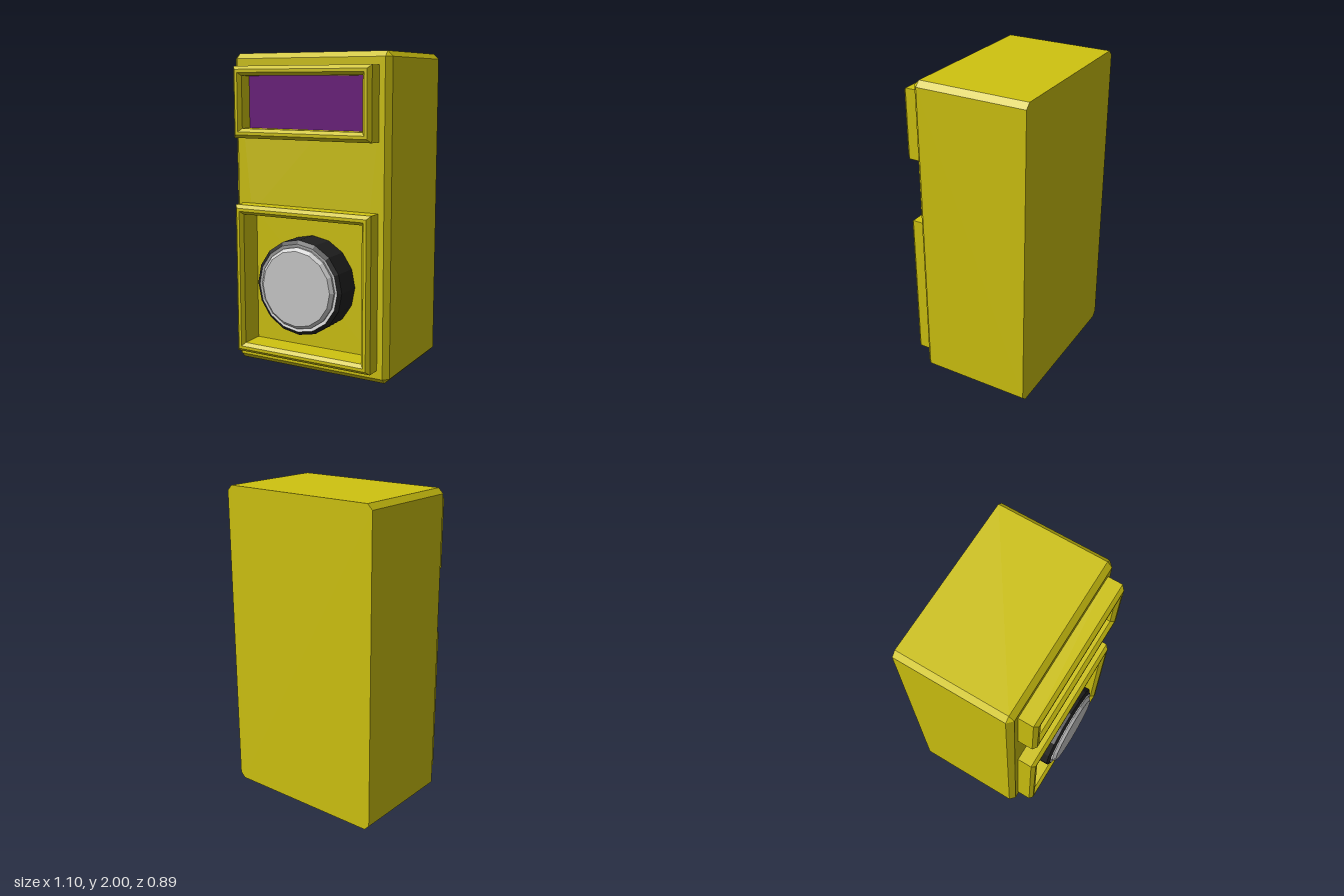
import * as THREE from 'three';

const mat = (color) => new THREE.MeshStandardMaterial({ color, flatShading: true });

// Counter-clockwise rectangle with cut corners, as 8 points at depth z
function loop(x, y0, y1, z, cut = 0) {
  return [
    [x - cut, y0], [x, y0 + cut], [x, y1 - cut], [x - cut, y1],
    [-x + cut, y1], [-x, y1 - cut], [-x, y0 + cut], [-x + cut, y0],
  ].map(([a, b]) => new THREE.Vector3(a, b, z));
}

// Joins successive loops with flat faces, optionally closing the first or last one
function loft(loops, { capStart = false, capEnd = false } = {}) {
  const pos = [];
  const tri = (a, b, c) => {
    const area = b.clone().sub(a).cross(c.clone().sub(a)).length();
    if (area > 1e-8) for (const p of [a, b, c]) pos.push(p.x, p.y, p.z);
  };
  for (let k = 0; k < loops.length - 1; k++) {
    const a = loops[k], b = loops[k + 1];
    for (let i = 0; i < a.length; i++) {
      const j = (i + 1) % a.length;
      tri(a[i], a[j], b[j]);
      tri(a[i], b[j], b[i]);
    }
  }
  const first = loops[0], last = loops[loops.length - 1];
  for (let i = 1; i < first.length - 1; i++) {
    if (capStart) tri(first[0], first[i + 1], first[i]);
    if (capEnd) tri(last[0], last[i], last[i + 1]);
  }
  const g = new THREE.BufferGeometry();
  g.setAttribute('position', new THREE.Float32BufferAttribute(pos, 3));
  g.computeVertexNormals();
  return g;
}

export function createModel() {
  const model = new THREE.Group();
  model.name = 'controlBox';
  const yellow = mat(0xcfc310), purple = mat(0x68107a), black = mat(0x222222), grey = mat(0xcccccc);

  const add = (name, geometry, material, parent = model) => {
    const mesh = new THREE.Mesh(geometry, material);
    mesh.name = name;
    parent.add(mesh);
    return mesh;
  };

  // Case with chamfered long edges and front rim
  const front = 0.29;
  add('case', loft([
    loop(0.55, 0, 2, -0.445, 0.033),
    loop(0.55, 0, 2, 0.257, 0.033),
    loop(0.517, 0.033, 1.967, front),
  ], { capStart: true }), yellow);

  // Front panel, open behind the dial recess
  const toPoints = (l) => l.map((p) => new THREE.Vector2(p.x, p.y)).filter((p, i) => i % 2 === 0);
  const panel = new THREE.Shape(toPoints(loop(0.517, 0.033, 1.967, 0)));
  panel.holes.push(new THREE.Path(toPoints(loop(0.42, 0.147, 0.993, 0))));
  add('frontPanel', new THREE.ShapeGeometry(panel), yellow).position.z = front;

  // Raised frames: outer wall, chamfer, flat rim, inner chamfer, recess wall
  const frame = (y0, y1, floor, capEnd) => loft([
    [0, front], [0, 0.383], [0.021, 0.405], [0.04, 0.405], [0.06, 0.383], [0.06, floor],
  ].map(([inset, z]) => loop(0.48 - inset, y0 + inset, y1 - inset, z)), { capEnd });
  add('screenFrame', frame(1.475, 1.92, 0.29, false), yellow);
  add('dialFrame', frame(0.087, 1.053, 0.235, true), yellow);

  // Screen
  add('screen', new THREE.PlaneGeometry(0.84, 0.325), purple).position.set(0, 1.6975, 0.3);

  // Sixteen-sided dial: dark body and pale cap
  const dial = new THREE.Group();
  dial.name = 'dial';
  dial.position.y = 0.57;
  dial.rotation.x = Math.PI / 2;
  model.add(dial);
  const turned = (points) => new THREE.LatheGeometry(points.map(([r, h]) => new THREE.Vector2(r, h)), 16);
  add('dialBody', turned([[0.3, 0.235], [0.3, 0.405], [0.277, 0.42]]), black, dial);
  add('dialCap', turned([[0.277, 0.42], [0.257, 0.412], [0.257, 0.425], [0.237, 0.444], [0, 0.444]]), grey, dial);

  return model;
}
